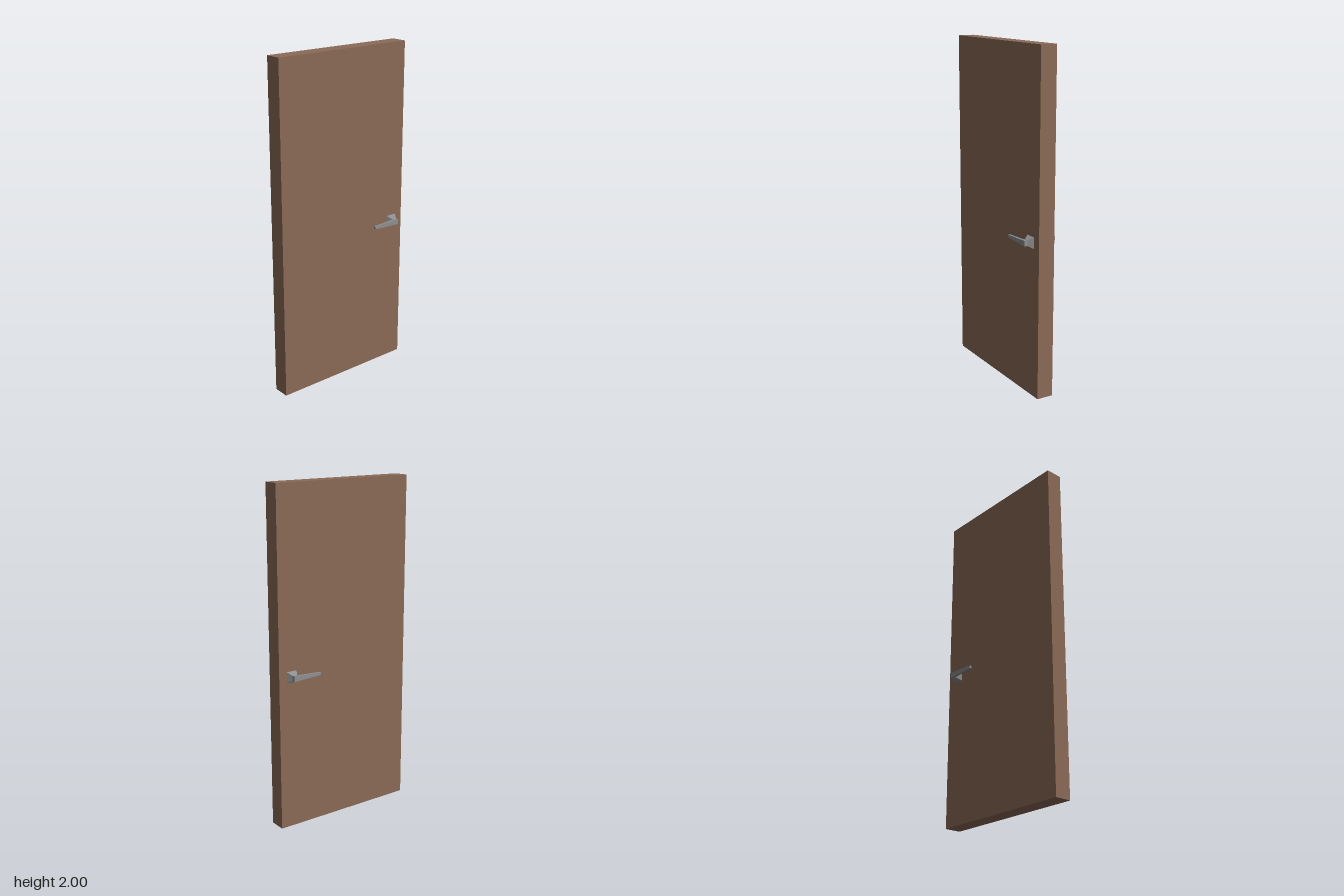
import * as THREE from 'three';

// Box whose near and far ends along an axis have their own rectangles.
// Each end: [position, uMin, uMax, vHalf]; u is the other horizontal axis, v is y.
function taper(axis, start, end) {
  const geo = new THREE.BoxGeometry(1, 1, 1);
  const p = geo.attributes.position;
  for (let i = 0; i < p.count; i++) {
    const along = axis === 'x' ? p.getX(i) : p.getZ(i);
    const across = axis === 'x' ? p.getZ(i) : p.getX(i);
    const [pos, uMin, uMax, half] = along < 0 ? start : end;
    const u = across < 0 ? uMin : uMax;
    const y = Math.sign(p.getY(i)) * half;
    if (axis === 'x') p.setXYZ(i, pos, y, u);
    else p.setXYZ(i, u, y, pos);
  }
  geo.computeVertexNormals();
  return geo;
}

export function createModel() {
  const wood = new THREE.MeshStandardMaterial({ color: 0x8a6a56 });
  wood.name = 'brown wood';
  const metal = new THREE.MeshStandardMaterial({ color: 0x8c8e90 });
  metal.name = 'grey metal';

  const model = new THREE.Group();
  model.name = 'door';

  // Plain door slab
  const panel = new THREE.Mesh(new THREE.BoxGeometry(0.9, 2, 0.1), wood);
  panel.name = 'doorPanel';
  panel.position.y = 1;
  model.add(panel);

  // Handle on each face: flared square mount and a lever thinning to its tip
  const mountGeo = taper('z', [0.05, 0.333, 0.4, 0.033], [0.082, 0.353, 0.381, 0.016]);
  const leverGeo = taper('x', [0.2, 0.085, 0.098, 0.008], [0.381, 0.082, 0.1, 0.016]);
  for (const [name, turn] of [['frontHandle', 0], ['backHandle', Math.PI]]) {
    const handle = new THREE.Group();
    handle.name = name;
    const mount = new THREE.Mesh(mountGeo, metal);
    mount.name = 'handleMount';
    const lever = new THREE.Mesh(leverGeo, metal);
    lever.name = 'handleLever';
    handle.add(mount, lever);
    handle.position.y = 0.918;
    handle.rotation.x = turn;
    model.add(handle);
  }
  return model;
}
